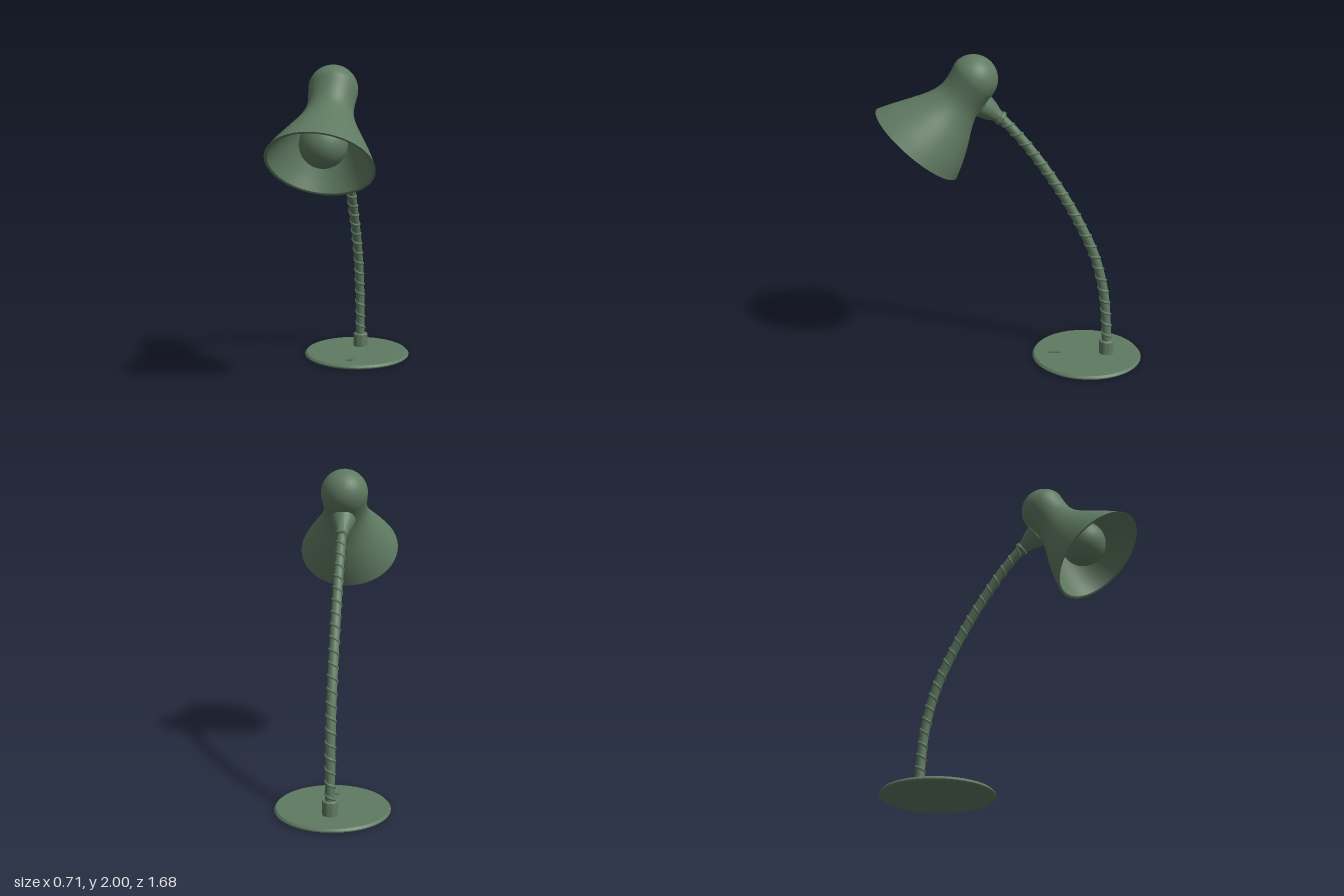
import * as THREE from 'three';
import { toCreasedNormals } from 'three/addons/utils/BufferGeometryUtils.js';

const material = new THREE.MeshStandardMaterial({ color: 0x5f7a61 });

function add(parent, name, geometry) {
  const mesh = new THREE.Mesh(geometry, material);
  mesh.name = name;
  parent.add(mesh);
  return mesh;
}

const vectors = (pairs) => pairs.map(([x, y]) => new THREE.Vector2(x, y));

function lathe(points, segments = 48) {
  return toCreasedNormals(new THREE.LatheGeometry(points, segments), 0.6);
}

// Coil that winds around a path lying in the y-z plane
class Coil extends THREE.Curve {
  constructor(path, radius, turns) {
    super();
    Object.assign(this, { path, radius, turns });
  }
  getPoint(t, target = new THREE.Vector3()) {
    const p = this.path.getPointAt(t);
    const d = this.path.getTangentAt(t);
    const a = t * this.turns * Math.PI * 2;
    const side = Math.sin(a) * this.radius;
    return target.set(Math.cos(a) * this.radius, p.y - d.z * side, p.z + d.y * side);
  }
}

// Shade wall from the rim to the dome top, thinned by an inset
function shadeWall(inset) {
  const flare = new THREE.SplineCurve(vectors([
    [0.325, 0], [0.287, 0.085], [0.235, 0.185], [0.178, 0.29], [0.147, 0.37], [0.14, 0.44], [0.15, 0.542],
  ])).getPoints(36);
  const dome = [];
  for (let i = 1; i <= 14; i++) {
    const a = (i / 14) * Math.PI / 2;
    dome.push(new THREE.Vector2(Math.cos(a) * 0.15, 0.542 + Math.sin(a) * 0.15));
  }
  return [...flare, ...dome].map((p, i) =>
    new THREE.Vector2(Math.max(p.x - inset, 0), i === 0 ? 0 : p.y - inset * 0.5));
}

function makeHead() {
  const head = new THREE.Group();
  head.name = 'head';
  head.position.set(0, 1.445, 0.6);
  head.rotation.x = -Math.atan2(0.656, 0.754);

  // Double-walled shade, its neck bowed slightly downward
  const raw = new THREE.LatheGeometry([...shadeWall(0.014).reverse(), ...shadeWall(0)], 64);
  const pos = raw.attributes.position;
  for (let i = 0; i < pos.count; i++) {
    const t = THREE.MathUtils.clamp(pos.getY(i) / 0.56, 0, 1);
    pos.setZ(i, pos.getZ(i) - 0.02 * Math.sin(Math.PI * t));
  }
  add(head, 'shade', toCreasedNormals(raw, 0.6));

  // Bulb and its socket
  add(head, 'bulb', new THREE.SphereGeometry(0.143, 32, 20)).position.y = 0.145;
  add(head, 'bulbSocket', new THREE.CylinderGeometry(0.06, 0.06, 0.3, 24)).position.set(0, 0.4, -0.015);
  return head;
}

export function createModel() {
  const lamp = new THREE.Group();
  lamp.name = 'deskLamp';

  // Round base with a softened edge, switch and stem collar
  const base = new THREE.Group();
  base.name = 'base';
  base.position.z = -0.48;
  lamp.add(base);
  add(base, 'baseDisc', lathe(vectors([
    [0, 0], [0.346, 0], [0.356, 0.008], [0.356, 0.014], [0.345, 0.026], [0, 0.028],
  ]), 64));
  add(base, 'switch', new THREE.BoxGeometry(0.04, 0.016, 0.08)).position.set(0, 0.03, 0.21);
  add(base, 'stemCollar', lathe(vectors([
    [0, 0.02], [0.048, 0.02], [0.048, 0.112], [0.043, 0.118], [0, 0.118],
  ]), 32)).position.z = -0.13;

  // Flexible stem with a spiral ridge
  const path = new THREE.CatmullRomCurve3([
    [0.08, -0.61], [0.25, -0.604], [0.47, -0.58], [0.715, -0.515], [0.94, -0.41],
    [1.155, -0.285], [1.37, -0.135], [1.51, -0.02], [1.625, 0.09],
  ].map(([y, z]) => new THREE.Vector3(0, y, z)));
  const stem = new THREE.Group();
  stem.name = 'flexibleStem';
  lamp.add(stem);
  add(stem, 'stemCore', new THREE.TubeGeometry(path, 80, 0.03, 20));
  add(stem, 'stemRidge', new THREE.TubeGeometry(new Coil(path, 0.027, 22), 528, 0.0095, 8));

  // Tapered joint from the stem into the shade
  const joint = add(lamp, 'shadeJoint', lathe(vectors([
    [0, 0], [0.036, 0], [0.046, 0.008], [0.046, 0.024], [0.038, 0.03],
    [0.042, 0.05], [0.06, 0.09], [0.078, 0.15], [0, 0.16],
  ]), 32));
  joint.position.set(0, 1.6, 0.065);
  joint.rotation.x = Math.atan2(0.81, 0.58);

  lamp.add(makeHead());
  return lamp;
}
